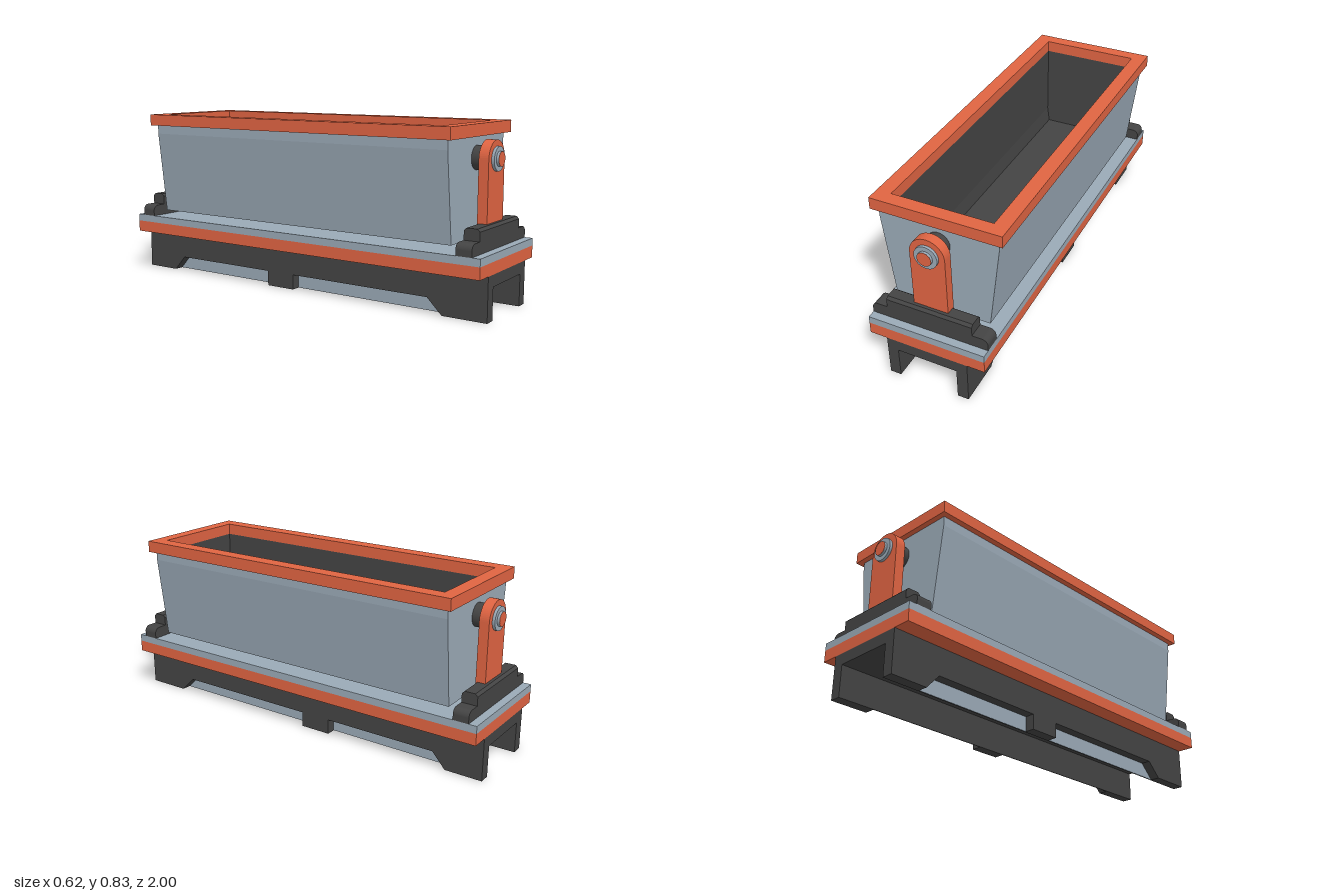
import * as THREE from 'three';

const mat = (color) => new THREE.MeshStandardMaterial({ color });
const dark = mat(0x444444), orange = mat(0xe06442), grey = mat(0x9aa9b6);

const polygon = (points) => new THREE.Shape(points.map(([x, y]) => new THREE.Vector2(x, y)));

// Mirror a right-hand profile (bottom to top) into a full list of points
const mirrored = (half) => [...half, ...half.map(([x, y]) => [-x, y]).reverse()];

function add(parent, name, geometry, material, x = 0, y = 0, z = 0) {
  const mesh = new THREE.Mesh(geometry, material);
  mesh.name = name;
  mesh.position.set(x, y, z);
  parent.add(mesh);
  return mesh;
}

const box = (parent, name, material, w, y0, y1, d, x = 0) =>
  add(parent, name, new THREE.BoxGeometry(w, y1 - y0, d), material, x, (y0 + y1) / 2, 0);

// Extrude an (x, y) outline from z0 to z1
function slab(parent, name, material, shape, z0, z1) {
  const geometry = new THREE.ExtrudeGeometry(shape, { depth: z1 - z0, bevelEnabled: false, curveSegments: 16 });
  return add(parent, name, geometry, material, 0, 0, z0);
}

// Extrude a side outline, given as (-z, y), from x0 to x1
function sideSlab(parent, name, material, points, x0, x1) {
  const geometry = new THREE.ExtrudeGeometry(polygon(points), { depth: x1 - x0, bevelEnabled: false });
  return add(parent, name, geometry.rotateY(Math.PI / 2), material, x0);
}

// Cylinder lying along z
const disc = (parent, name, material, r, y, z0, z1) =>
  add(parent, name, new THREE.CylinderGeometry(r, r, z1 - z0, 40).rotateX(Math.PI / 2), material, 0, y, (z0 + z1) / 2);

const rectShape = (w, h) => polygon([[-w, -h], [w, -h], [w, h], [-w, h]]);

function buildChassis() {
  const g = new THREE.Group();
  g.name = 'chassis';
  // Side beams with two notches each, closed on the inside by a thin web
  const outline = [
    [-1, 0], [-0.785, 0], [-0.71, 0.073], [0.028, 0.073], [0.028, 0], [0.182, 0],
    [0.182, 0.073], [0.753, 0.073], [0.818, 0], [1, 0], [1, 0.204], [-1, 0.204],
  ];
  for (const s of [1, -1]) {
    sideSlab(g, 'sideBeam', dark, outline, s > 0 ? 0.147 : -0.198, s > 0 ? 0.198 : -0.147);
    box(g, 'innerWeb', dark, 0.004, 0, 0.16, 2, s * 0.147);
    // Panel at the back of the notches
    box(g, 'notchPanel', grey, 0.002, 0.001, 0.1, 1.7, s * 0.15);
  }
  box(g, 'chassisTop', dark, 0.294, 0.15, 0.204, 2);
  box(g, 'lowerDeck', orange, 0.564, 0.204, 0.26, 2);
  box(g, 'upperDeck', grey, 0.564, 0.26, 0.295, 2);
  return g;
}

function buildHopper() {
  const g = new THREE.Group();
  g.name = 'hopper';
  const outer = mirrored([[0.231, 0.325], [0.281, 0.735], [0.281, 0.78]]);
  const middle = mirrored([[0.231, 0.34], [0.2405, 0.42], [0.2415, 0.78]]);
  const inner = mirrored([[0.229, 0.343], [0.2395, 0.42], [0.24, 0.78]]);
  // Open trough section between an outer and an inner profile
  const channel = (out, inn) =>
    polygon([...out.slice(3), ...out.slice(0, 3), ...inn.slice(0, 3).reverse(), ...inn.slice(3).reverse()]);
  slab(g, 'trough', grey, channel(outer, middle), -0.84, 0.84);
  slab(g, 'lining', dark, channel(middle, inner), -0.803, 0.803);
  // End walls, grey outside and dark inside
  for (const s of [1, -1]) {
    slab(g, 'endWall', grey, polygon(outer), s > 0 ? 0.803 : -0.84, s > 0 ? 0.84 : -0.803);
    slab(g, 'endLining', dark, polygon(middle), s > 0 ? 0.8 : -0.803, s > 0 ? 0.803 : -0.8);
  }
  // Rim frame
  const frame = rectShape(0.309, 0.865);
  frame.holes.push(rectShape(0.24, 0.8));
  const rim = new THREE.ExtrudeGeometry(frame, { depth: 0.056, bevelEnabled: false }).rotateX(-Math.PI / 2);
  add(g, 'rim', rim, orange, 0, 0.779, 0);
  return g;
}

// Pivot support at the front end
function buildSupport(name) {
  const g = new THREE.Group();
  g.name = name;
  // Base with rounded ends
  const base = new THREE.Shape();
  base.moveTo(-0.282, 0.295);
  base.lineTo(0.282, 0.295);
  base.lineTo(0.282, 0.322);
  base.absarc(0.254, 0.322, 0.028, 0, Math.PI / 2);
  base.lineTo(-0.254, 0.35);
  base.absarc(-0.254, 0.322, 0.028, Math.PI / 2, Math.PI);
  slab(g, 'supportBase', dark, base, 0.886, 0.961);
  // Upper block with chamfered long edges
  const block = [
    [-0.961, 0.34], [-0.886, 0.34], [-0.886, 0.392], [-0.898, 0.404], [-0.949, 0.404], [-0.961, 0.392],
  ];
  sideSlab(g, 'supportBlock', dark, block, -0.207, 0.207);
  // Round-topped arm
  const y = 0.683;
  const arm = new THREE.Shape();
  arm.moveTo(-0.083, 0.36);
  arm.lineTo(0.083, 0.36);
  arm.absarc(0, y, 0.083, 0, Math.PI);
  slab(g, 'supportArm', orange, arm, 0.888, 0.935);
  // Pivot
  disc(g, 'trunnion', dark, 0.055, y, 0.83, 0.9);
  disc(g, 'washer', grey, 0.055, y, 0.93, 0.948);
  disc(g, 'pin', grey, 0.034, y, 0.94, 0.959);
  disc(g, 'pinCap', orange, 0.0335, y, 0.955, 0.96);
  return g;
}

export function createModel() {
  const model = new THREE.Group();
  model.name = 'tippingTrough';
  const back = buildSupport('backSupport');
  back.rotation.y = Math.PI;
  model.add(buildChassis(), buildHopper(), buildSupport('frontSupport'), back);
  return model;
}
